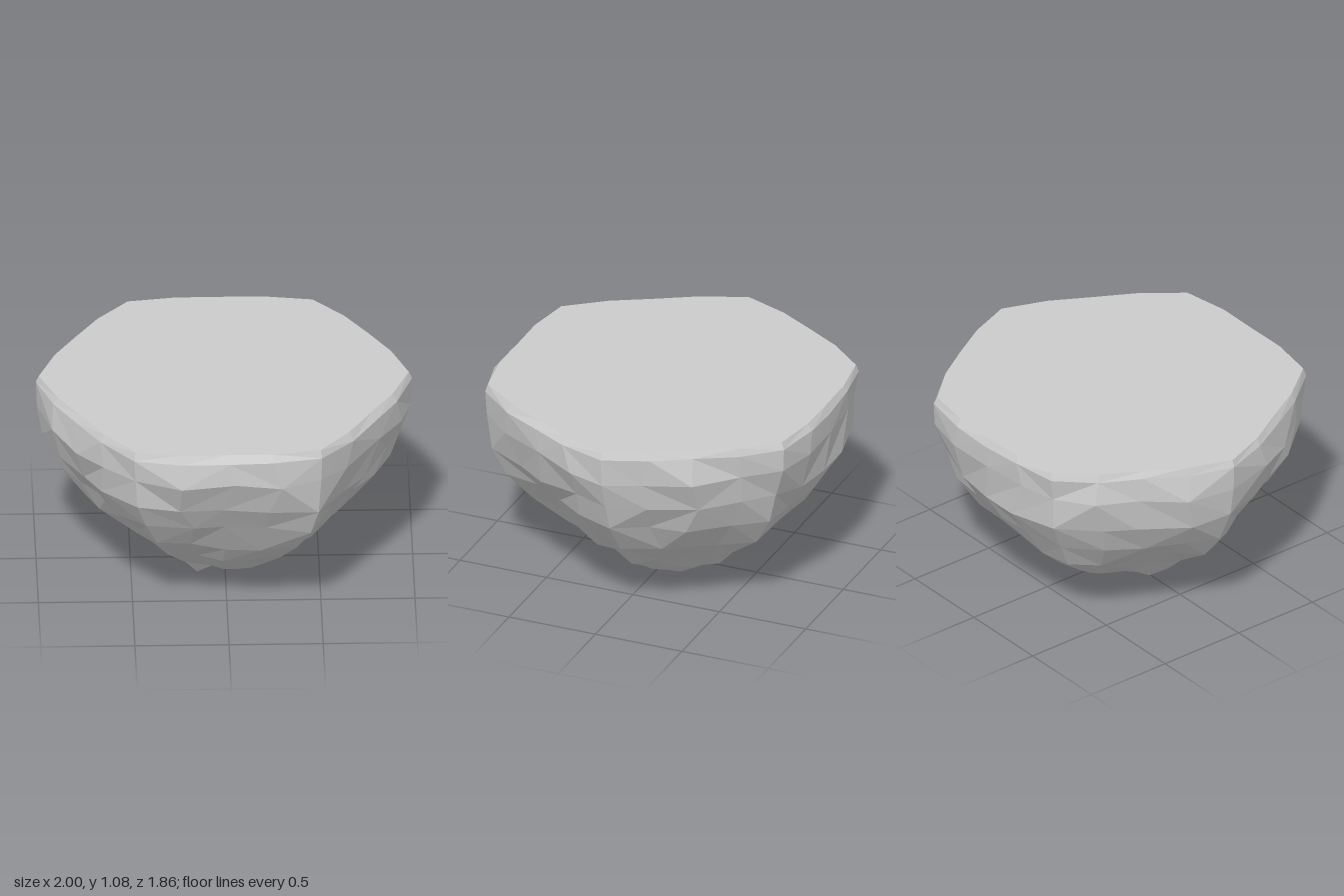
import * as THREE from 'three';

// Radius of the rock at each level, seen towards four sides
const LEVELS = [1.08, 1.04, 0.9, 0.72, 0.56, 0.4, 0.25, 0.15, 0.07];
const RIGHT_RIDGE = [0.98, 1, 0.97, 0.93, 0.87, 0.73, 0.57, 0.44, 0.3];
const LEFT_RIDGE = [0.985, 1, 1, 0.98, 0.87, 0.75, 0.55, 0.44, 0.28];
const FRONT_FACE = [0.885, 0.915, 0.94, 0.84, 0.74, 0.62, 0.52, 0.38, 0.23];
const BACK_FACE = [0.9, 0.92, 0.93, 0.89, 0.82, 0.68, 0.53, 0.42, 0.28];
const COLS = 24; // four columns for each of the six sides

function seeded(seed) {
  return () => {
    seed = (seed * 16807) % 2147483647;
    return seed / 2147483647;
  };
}

function rockGeometry() {
  const rand = seeded(4217);
  const jitter = (a) => (rand() * 2 - 1) * a;
  const { lerp } = THREE.MathUtils;

  // Six-sided rings: ridges at the corners, slightly bulging faces between
  const rings = LEVELS.map((y, i) => {
    const rough = i === 0 ? 0 : i === 1 ? 0.006 : 0.02;
    return Array.from({ length: COLS }, (_, j) => {
      const angle = (j / COLS) * Math.PI * 2;
      const c = Math.cos(angle), s = Math.sin(angle);
      const ridge = lerp(LEFT_RIDGE[i], RIGHT_RIDGE[i], (1 + c) / 2);
      const face = lerp(BACK_FACE[i], FRONT_FACE[i], (1 + s) / 2);
      const t = [0, 0.5, 1, 0.5][j % 4];
      const r = Math.min(1, lerp(ridge, face, t) * (t === 0.5 ? 0.985 : 1) + jitter(rough));
      const a = angle + (t ? jitter(rough * 2.5) : 0);
      return [Math.cos(a) * r, y + jitter(rough * 1.3), Math.sin(a) * r - 0.03 * c * c];
    });
  });

  const pos = [];
  const tri = (a, b, c) => pos.push(...a, ...b, ...c);
  const top = [0, 1.08, 0], tip = [0, 0, -0.03];
  const last = rings.length - 1;
  for (let j = 0; j < COLS; j++) {
    const k = (j + 1) % COLS;
    tri(top, rings[0][k], rings[0][j]); // flat cut top
    for (let i = 0; i < last; i++) {
      const a = rings[i][j], b = rings[i][k], c = rings[i + 1][j], d = rings[i + 1][k];
      // irregular facets from varying diagonals
      if (rand() < 0.5) { tri(a, b, c); tri(b, d, c); }
      else { tri(a, b, d); tri(a, d, c); }
    }
    tri(tip, rings[last][j], rings[last][k]); // underside point
  }
  const geometry = new THREE.BufferGeometry();
  geometry.setAttribute('position', new THREE.Float32BufferAttribute(pos, 3));
  geometry.computeVertexNormals();
  return geometry;
}

export function createModel() {
  const group = new THREE.Group();
  group.name = 'floatingRock';
  const material = new THREE.MeshStandardMaterial({ color: 0xcccccc, flatShading: true });
  const rock = new THREE.Mesh(rockGeometry(), material);
  rock.name = 'rock';
  group.add(rock);
  return group;
}
